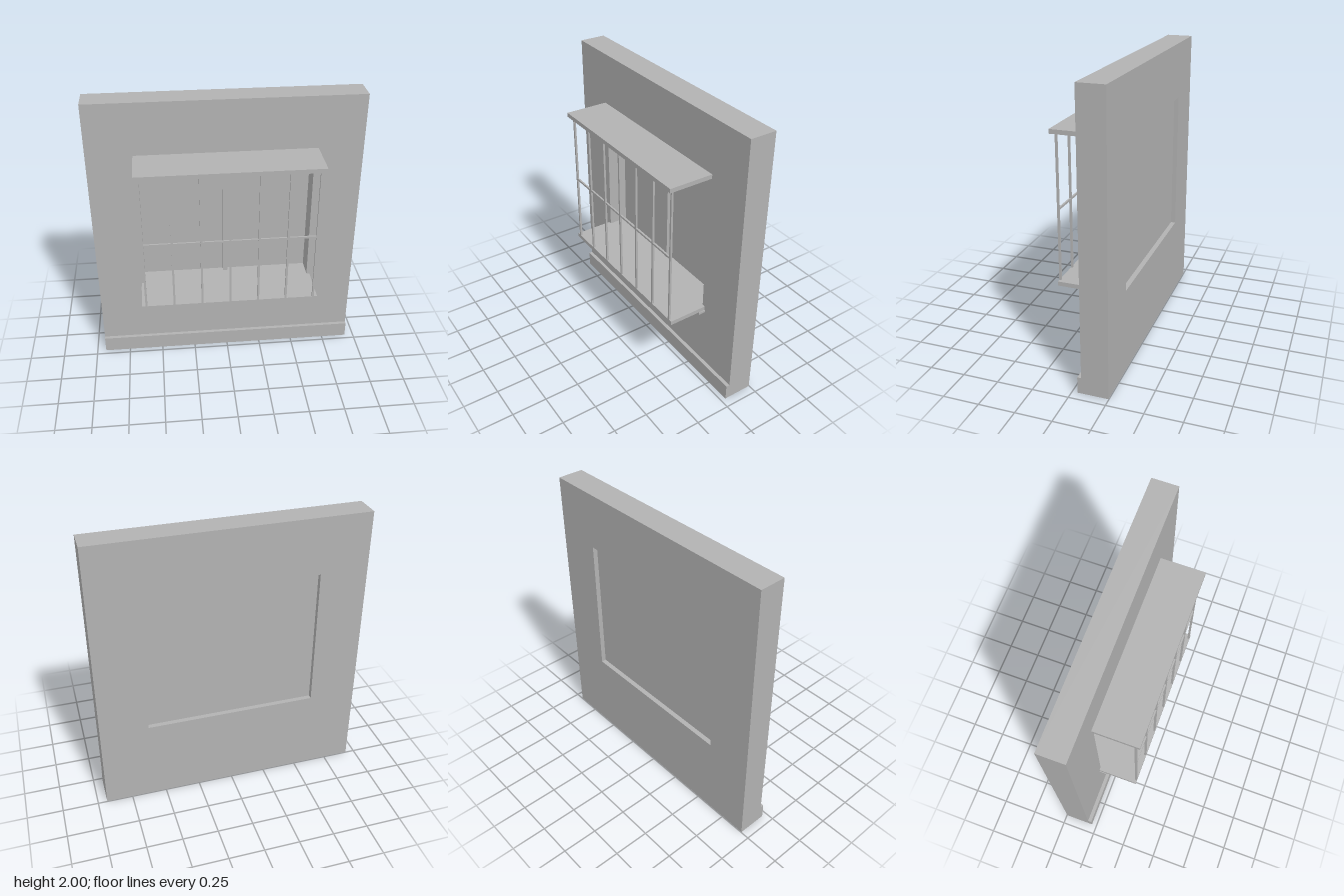
import * as THREE from 'three';

export function createModel() {
  const model = new THREE.Group();
  model.name = 'wallWithBarredWindow';

  const plaster = new THREE.MeshStandardMaterial({ color: 0xb2b2b2 });
  plaster.name = 'grey plaster';

  // Box given by its lower and upper limits on each axis
  function box(name, x0, x1, y0, y1, z0, z1, parent = model) {
    const mesh = new THREE.Mesh(new THREE.BoxGeometry(x1 - x0, y1 - y0, z1 - z0), plaster);
    mesh.position.set((x0 + x1) / 2, (y0 + y1) / 2, (z0 + z1) / 2);
    mesh.name = name;
    parent.add(mesh);
    return mesh;
  }

  const halfWall = 0.935, halfOpening = 0.6, bottom = 0.597, top = 1.6;
  const back = -0.247, face = -0.063;

  // Wall with the window opening cut through
  const outline = new THREE.Shape();
  outline.moveTo(-halfWall, 0).lineTo(halfWall, 0).lineTo(halfWall, 2).lineTo(-halfWall, 2).closePath();
  const opening = new THREE.Path();
  opening.moveTo(-halfOpening, bottom).lineTo(-halfOpening, top)
    .lineTo(halfOpening, top).lineTo(halfOpening, bottom).closePath();
  outline.holes.push(opening);
  const wall = new THREE.Mesh(
    new THREE.ExtrudeGeometry(outline, { depth: face - back, bevelEnabled: false }), plaster);
  wall.position.z = back;
  wall.name = 'wall';
  model.add(wall);

  box('plinth', -halfWall, halfWall, 0, 0.115, face, -0.037);

  // Recessed pane and its central post
  box('windowPane', -halfOpening, halfOpening, bottom, top, -0.213, -0.205);
  box('windowMullion', -0.016, 0.016, bottom, top, -0.205, -0.172);

  // Projecting slabs above and below the window
  box('canopy', -0.623, 0.623, top, 1.63, face, 0.247);
  box('sill', -0.623, 0.623, 0.567, bottom, face, 0.218);
  box('sillMoulding', -0.628, 0.628, 0.55, 0.567, face, -0.013);

  // Security grille: seven uprights and one cross rail
  const grille = new THREE.Group();
  grille.name = 'grille';
  model.add(grille);
  for (let i = -3; i <= 3; i++) {
    const x = i * 0.1975;
    box('grilleUpright', x - 0.007, x + 0.007, bottom, top, 0.204, 0.218, grille);
  }
  box('grilleRail', -0.59, 0.59, 1.091, 1.105, 0.205, 0.217, grille);

  return model;
}
